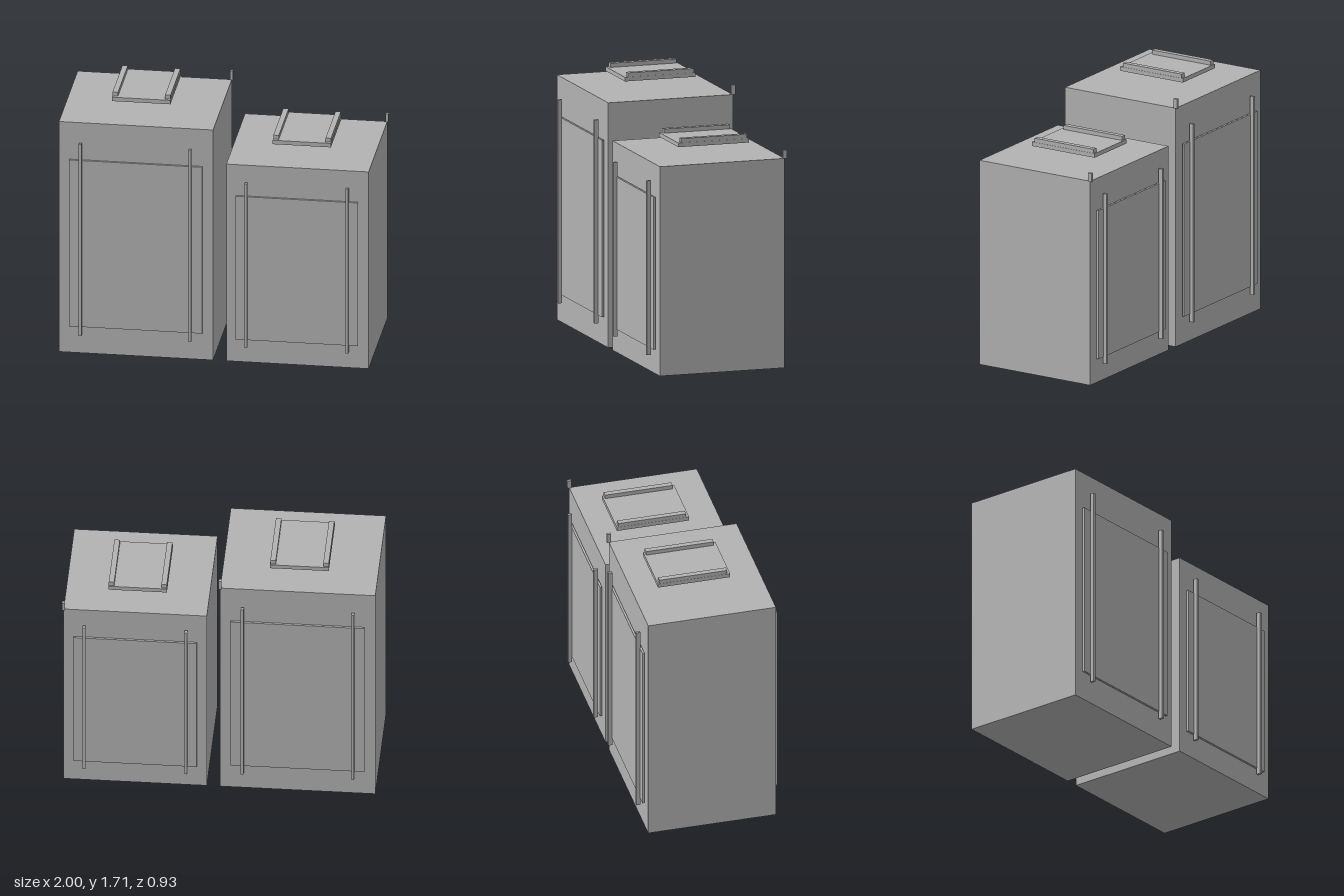
import * as THREE from 'three';

const grey = new THREE.MeshStandardMaterial({ color: 0xb2b2b2 });
grey.name = 'concrete grey';

// Box given by its lower and upper limits on each axis
function box(parent, name, [x0, x1], [y0, y1], [z0, z1]) {
  const mesh = new THREE.Mesh(new THREE.BoxGeometry(x1 - x0, y1 - y0, z1 - z0), grey);
  mesh.name = name;
  mesh.position.set((x0 + x1) / 2, (y0 + y1) / 2, (z0 + z1) / 2);
  parent.add(mesh);
}

function tower(name, t) {
  const g = new THREE.Group();
  g.name = name;
  box(g, 'towerBody', t.x, [0, t.height], [-0.42, 0.42]);

  // Facade panels and vertical fins, mirrored front and back
  for (const [side, s] of [['front', 1], ['back', -1]]) {
    const depth = (a, b) => (s > 0 ? [a, b] : [-b, -a]);
    box(g, side + 'Panel', t.panelX, t.panelY, depth(0.426, 0.44));
    for (const x of t.fins) {
      box(g, side + 'Fin', [x - 0.009, x + 0.009], t.finY, depth(0.437, 0.464));
    }
  }

  // Raised roof slab with two rails
  const [r0, r1] = t.roofX, y = t.roofY;
  box(g, 'roofSlab', [r0, r1], [y, y + 0.027], [-0.275, 0.2]);
  for (const x of [r0, r1 - 0.038]) {
    box(g, 'roofRail', [x + 0.001, x + 0.036], [y + 0.027, y + 0.054], [-0.265, 0.18]);
  }

  // Small post on the rear corner of the roof
  const edge = t.x[1];
  box(g, 'cornerPost', [edge - 0.009, edge + 0.009],
    [t.height, t.height + t.postHeight], [-0.434, -0.408]);
  return g;
}

export function createModel() {
  const model = new THREE.Group();
  model.name = 'twinTowers';
  model.add(
    tower('tallTower', {
      x: [-1, -0.009], height: 1.588, postHeight: 0.064,
      panelX: [-0.932, -0.076], panelY: [0.187, 1.335],
      fins: [-0.859, -0.153], finY: [0.135, 1.455],
      roofX: [-0.691, -0.315], roofY: 1.656,
    }),
    tower('shortTower', {
      x: [0.076, 0.991], height: 1.358, postHeight: 0.056,
      panelX: [0.139, 0.925], panelY: [0.16, 1.148],
      fins: [0.207, 0.857], finY: [0.116, 1.246],
      roofX: [0.343, 0.717], roofY: 1.42,
    }),
  );
  return model;
}
